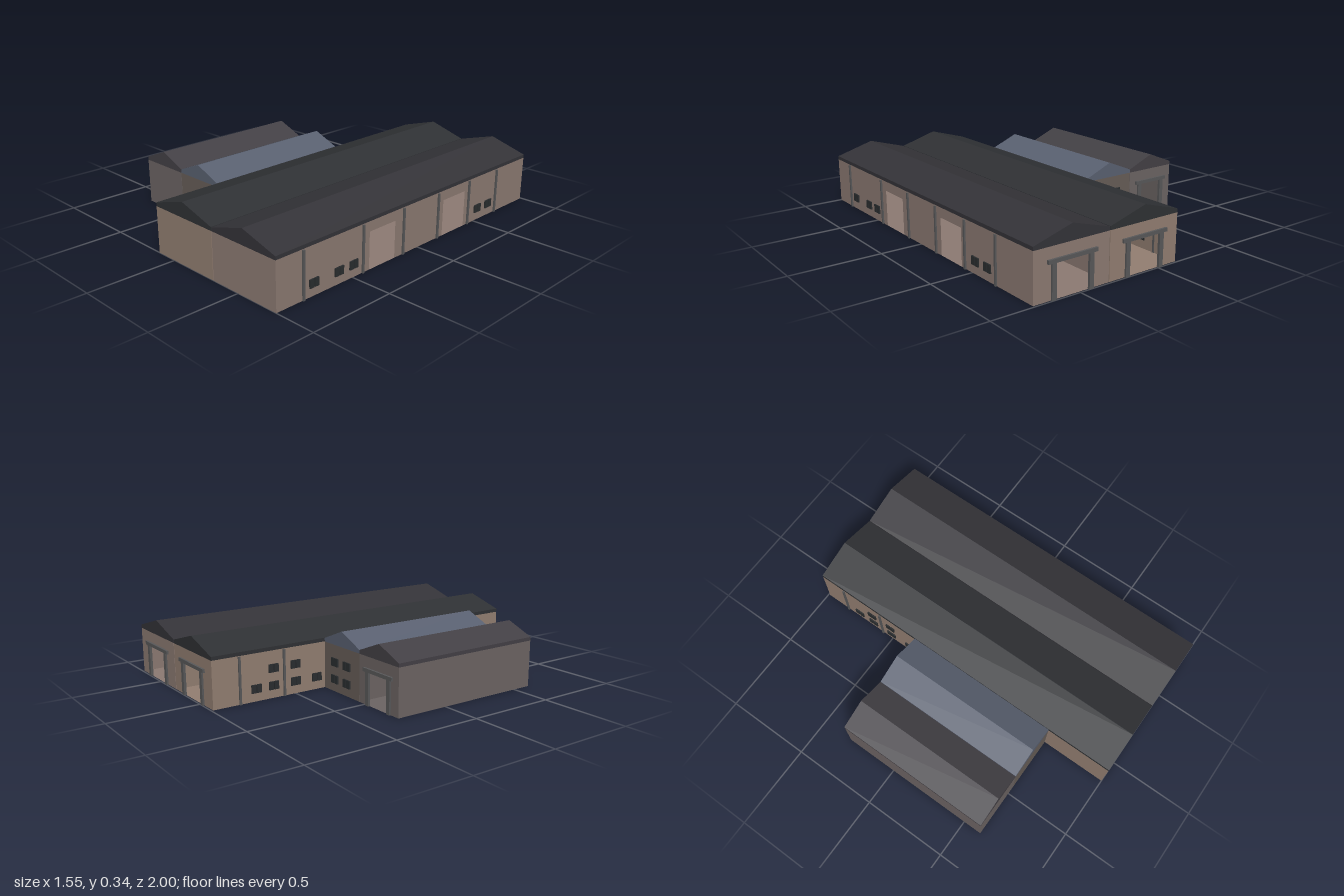
import * as THREE from 'three';

const WALL = 0.26, EAVE = 0.28, RIDGE = 0.345;

const material = (color) => new THREE.MeshStandardMaterial({ color, flatShading: true, side: THREE.DoubleSide });
const trim = material(0x585859);
const glass = material(0x2a2d2f);

function addMesh(parent, name, geometry, mat) {
  const mesh = new THREE.Mesh(geometry, mat);
  mesh.name = name;
  parent.add(mesh);
  return mesh;
}

function addBox(parent, name, [w, h, d], [x, y, z], mat) {
  addMesh(parent, name, new THREE.BoxGeometry(w, h, d), mat).position.set(x, y, z);
}

// Wall sheet, centred on its own x, facing its own +z; doors are [centre, width, height] from -x to +x
function addWall(parent, name, width, mat, doors = []) {
  const wall = new THREE.Group();
  wall.name = name;
  const s = new THREE.Shape();
  s.moveTo(-width / 2, 0);
  for (const [c, w, h] of doors) {
    s.lineTo(c - w / 2, 0);
    s.lineTo(c - w / 2, h);
    s.lineTo(c + w / 2, h);
    s.lineTo(c + w / 2, 0);
  }
  s.lineTo(width / 2, 0);
  s.lineTo(width / 2, WALL);
  s.lineTo(-width / 2, WALL);
  addMesh(wall, name + 'Panel', new THREE.ShapeGeometry(s), mat);
  parent.add(wall);
  return wall;
}

// Two-pane window on a wall
function addWindow(wall, u, y) {
  for (const side of [-1, 1]) {
    addBox(wall, 'windowPane', [0.027, 0.045, 0.012], [u + side * 0.0155, y, 0.002], glass);
  }
}

function addPilaster(wall, u) {
  addBox(wall, 'pilaster', [0.012, WALL - 0.003, 0.012], [u, (WALL - 0.003) / 2, 0.003], trim);
}

// Posts and lintel round a gable door
function addDoorFrame(wall, width, height, lintel) {
  for (const side of [-1, 1]) {
    addBox(wall, 'doorPost', [0.026, height, 0.014], [side * (width / 2 + 0.013), height / 2, 0.003], trim);
  }
  addBox(wall, 'doorLintel', [lintel, 0.02, 0.018], [0, height + 0.01, 0.003], trim);
}

// One hollow hall with floor, ceiling, four walls and a ridged roof
function makeHall({ name, x0, x1, z0, z1, wallColor, roofColor, backDoor, eastDoors }) {
  const hall = new THREE.Group();
  hall.name = name;
  const w = x1 - x0, d = z1 - z0, cx = (x0 + x1) / 2, cz = (z0 + z1) / 2;
  const wallMat = material(wallColor);

  const place = (wall, x, z, turn) => {
    wall.position.set(x, 0, z);
    wall.rotation.y = turn;
    return wall;
  };
  const walls = {
    front: place(addWall(hall, 'frontWall', w, wallMat), cx, z1, 0),
    back: place(addWall(hall, 'backWall', w, wallMat, backDoor), cx, z0, Math.PI),
    east: place(addWall(hall, 'leftWall', d, wallMat, eastDoors), x1, cz, Math.PI / 2),
    west: place(addWall(hall, 'rightWall', d, wallMat), x0, cz, -Math.PI / 2),
  };

  for (const [part, y] of [['floor', 0], ['ceiling', WALL - 0.002]]) {
    const sheet = addMesh(hall, part, new THREE.PlaneGeometry(w, d), wallMat);
    sheet.rotation.x = -Math.PI / 2;
    sheet.position.set(cx, y, cz);
  }

  // Roof section swept along z
  const section = new THREE.Shape([
    [x0, WALL], [x1, WALL], [x1, EAVE], [cx, RIDGE], [x0, EAVE],
  ].map(([x, y]) => new THREE.Vector2(x, y)));
  const roof = new THREE.ExtrudeGeometry(section, { depth: d, bevelEnabled: false });
  addMesh(hall, 'roof', roof, material(roofColor)).position.z = z0;
  return { hall, walls, cz };
}

export function createModel() {
  const model = new THREE.Group();
  model.name = 'warehouse';

  const mainHall = makeHall({
    name: 'mainHall', x0: -0.13, x1: 0.314, z0: -0.99, z1: 1,
    wallColor: 0x927e71, roofColor: 0x2f3134, backDoor: [[0, 0.195, 0.18]],
  });
  const sideDoors = [0.283, -0.308];
  const outerHall = makeHall({
    name: 'outerHall', x0: 0.318, x1: 0.765, z0: -0.99, z1: 1,
    wallColor: 0x8c7a72, roofColor: 0x343338, backDoor: [[0, 0.195, 0.18]],
    eastDoors: sideDoors.map((z) => [0.005 - z, 0.193, 0.205]),
  });
  const officeHall = makeHall({
    name: 'officeHall', x0: -0.45, x1: -0.132, z0: -0.31, z1: 0.61,
    wallColor: 0x665d57, roofColor: 0x596070,
  });
  const annexHall = makeHall({
    name: 'annexHall', x0: -0.775, x1: -0.452, z0: -0.31, z1: 0.61,
    wallColor: 0x6c6463, roofColor: 0x434045, backDoor: [[0, 0.15, 0.18]],
  });
  for (const { hall } of [mainHall, outerHall, officeHall, annexHall]) model.add(hall);

  // Gable door frames
  addDoorFrame(mainHall.walls.back, 0.195, 0.18, 0.29);
  addDoorFrame(outerHall.walls.back, 0.195, 0.18, 0.29);
  addDoorFrame(annexHall.walls.back, 0.15, 0.18, 0.235);

  // Long outer wall
  const east = outerHall.walls.east;
  for (const z of [0.833, 0.428, 0.122, -0.165, -0.44, -0.705]) addPilaster(east, outerHall.cz - z);
  for (const z of [0.765, 0.597, 0.495, -0.532, -0.635]) addWindow(east, outerHall.cz - z, 0.07);

  // Exposed stretch of the main hall beside the office
  const west = mainHall.walls.west;
  for (const z of [-0.835, -0.57]) addPilaster(west, z - mainHall.cz);
  for (const z of [-0.74, -0.635, -0.5, -0.365]) addWindow(west, z - mainHall.cz, 0.07);
  for (const z of [-0.635, -0.5]) addWindow(west, z - mainHall.cz, 0.165);

  // Office gable windows
  for (const u of [-0.06, 0.05]) {
    for (const y of [0.07, 0.165]) addWindow(officeHall.walls.back, u, y);
  }
  return model;
}
